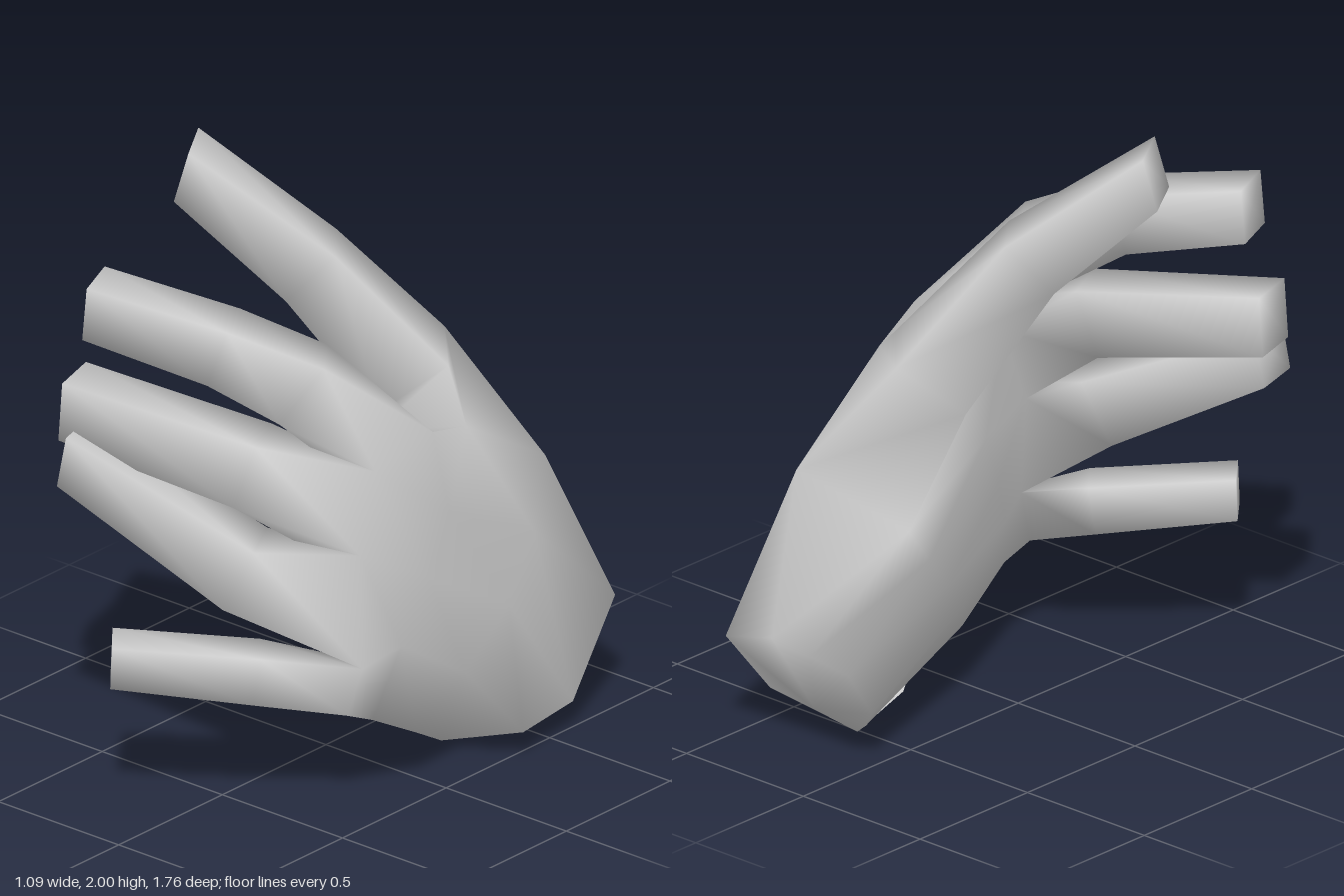
import * as THREE from 'three';

const V = (p) => new THREE.Vector3(...p);
const Y = V([0, 1, 0]);

export function createModel() {
  const hand = new THREE.Group();
  hand.name = 'hand';
  const material = new THREE.MeshStandardMaterial({ color: 0xcccccc });

  // All parts share one list of points, so the skin runs smoothly from palm to digits
  const points = [];
  const parts = {};
  const addRing = (ring) => ring.map((p) => points.push(p) - 1);
  const middle = (ids) => ids
    .reduce((s, i) => s.add(points[i]), new THREE.Vector3()).divideScalar(ids.length);

  // Quads between two rings, leaving out one side if asked
  function skin(index, a, b, gap = -1) {
    const n = a.length;
    for (let j = 0; j < n; j++) {
      const k = (j + 1) % n;
      if (j !== gap) index.push(a[j], b[j], a[k], a[k], b[j], b[k]);
    }
  }

  // Closes a ring with a fan around a centre point
  function close(index, ring, centre) {
    const [c] = addRing([centre]);
    ring.forEach((p, j) => index.push(c, p, ring[(j + 1) % ring.length]));
  }

  // Palm rings from wrist to knuckles: down the back of the hand, then up the inner side
  const palm = [
    [[0.24, 0.44, -0.885], [0.47, 0.37, -0.85], [0.51, 0.1, -0.6], [0.545, 0.1, -0.32], [0.29, 0.03, -0.22],
      [0.22, 0.005, -0.51], [0.1, 0.09, -0.6], [0, 0.185, -0.68], [-0.045, 0.38, -0.84], [0.1, 0.41, -0.86]],
    [[0.37, 0.9, -0.63], [0.46, 0.72, -0.47], [0.52, 0.55, -0.28], [0.51, 0.38, -0.08], [0.42, 0.19, 0.05],
      [0.24, 0.2, 0], [0.1, 0.35, -0.15], [0.02, 0.5, -0.3], [-0.08, 0.68, -0.5], [-0.13, 0.84, -0.65]],
    [[0.42, 1.17, -0.19], [0.5, 0.95, -0.02], [0.5, 0.76, 0.08], [0.47, 0.55, 0.18], [0.41, 0.3, 0.25],
      [0.28, 0.33, 0.24], [0.2, 0.52, 0.16], [0.14, 0.7, 0.06], [0.1, 0.9, -0.04], [0.1, 1.08, -0.13]],
    [[0.47, 1.24, 0.03], [0.43, 1.17, 0.26], [0.41, 0.89, 0.31], [0.42, 0.5, 0.31], [0.4, 0.35, 0.36],
      [0.29, 0.36, 0.37], [0.3, 0.53, 0.34], [0.28, 0.86, 0.34], [0.3, 1.12, 0.25], [0.28, 1.14, 0.1]],
  ].map((ring) => addRing(ring.map(V)));
  const [wrist, heel, web, knuckles] = palm;
  parts.palm = [];
  close(parts.palm, wrist, V([0.36, 0.05, -0.55]));
  skin(parts.palm, wrist, heel);
  skin(parts.palm, heel, web, 9); // the thumb grows out of this gap
  skin(parts.palm, web, knuckles);

  // A four-sided digit from a root ring through joints [x, y, z, half width, half height]
  function digit(name, root, joints) {
    const path = [middle(root), ...joints.map((j) => V(j.slice(0, 3)))];
    const index = parts[name] = [];
    let ring = root;
    joints.forEach(([, , , w, h], i) => {
      const p = path[i + 1];
      const dir = p.clone().sub(path[i]).normalize();
      const isTip = i === joints.length - 1;
      if (!isTip) dir.add(path[i + 2].clone().sub(p).normalize()).normalize();
      const side = dir.clone().cross(Y).normalize();
      const up = side.clone().cross(dir);
      // The tip is cut more upright than square to the digit
      if (isTip) up.lerp(Y, 0.6).normalize();
      const next = addRing([[-1, 1], [-1, -1], [1, -1], [1, 1]].map(([s, u]) => p.clone()
        .addScaledVector(side, s * w).addScaledVector(up, u * h)));
      skin(index, ring, next);
      ring = next;
    });
    close(index, [...ring].reverse(), middle(ring));
  }

  // Thumb
  digit('thumb', [web[0], web[9], heel[9], heel[0]],
    [[0.08, 1.22, -0.32, 0.15, 0.135], [-0.13, 1.6, -0.08, 0.105, 0.11], [-0.47, 1.92, 0.13, 0.1, 0.088]]);

  // Four fingers, each rooted between neighbouring knuckle points
  Object.entries({
    indexFinger: [[0.19, 1.425, 0.33, 0.095, 0.12], [-0.02, 1.54, 0.47, 0.095, 0.1], [-0.42, 1.63, 0.635, 0.09, 0.09]],
    middleFinger: [[0.1, 1.165, 0.47, 0.095, 0.115], [-0.5, 1.27, 0.645, 0.09, 0.1]],
    ringFinger: [[0.12, 0.835, 0.53, 0.1, 0.115], [-0.455, 1.125, 0.69, 0.09, 0.088]],
    littleFinger: [[0.16, 0.485, 0.52, 0.08, 0.08], [-0.19, 0.53, 0.815, 0.08, 0.07]],
  }).forEach(([name, joints], k) => {
    digit(name, [knuckles[k], knuckles[k + 1], knuckles[8 - k], knuckles[9 - k]], joints);
  });

  // Normals are taken over the whole hand, then each part draws its own faces
  const whole = new THREE.BufferGeometry().setFromPoints(points);
  whole.setIndex(Object.values(parts).flat());
  whole.computeVertexNormals();
  Object.entries(parts).forEach(([name, index]) => {
    const geometry = new THREE.BufferGeometry();
    geometry.setAttribute('position', whole.getAttribute('position'));
    geometry.setAttribute('normal', whole.getAttribute('normal'));
    geometry.setIndex(index);
    const mesh = new THREE.Mesh(geometry, material);
    mesh.name = name;
    hand.add(mesh);
  });
  return hand;
}
